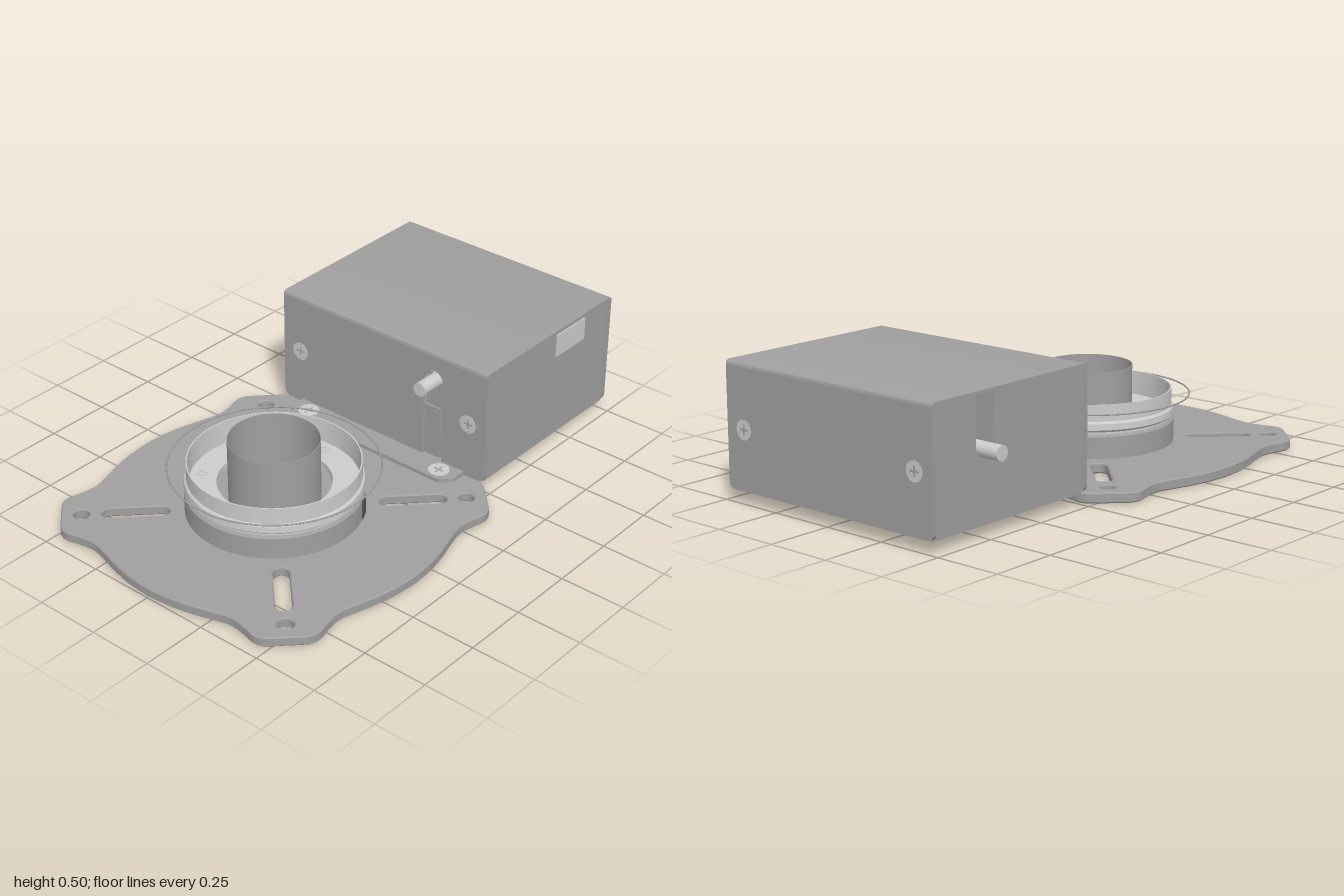
import * as THREE from 'three';
import { toCreasedNormals } from 'three/addons/utils/BufferGeometryUtils.js';

const grey = new THREE.MeshStandardMaterial({ color: 0x9f9f9f, side: THREE.DoubleSide });
const bright = new THREE.MeshStandardMaterial({ color: 0xcccccc, side: THREE.DoubleSide });
const dark = new THREE.MeshStandardMaterial({ color: 0x555555, side: THREE.DoubleSide });
const CZ = 0.355; // centre of the turntable base along z

function add(parent, name, geometry, material = grey, x = 0, y = 0, z = 0) {
  const mesh = new THREE.Mesh(geometry, material);
  mesh.name = name;
  mesh.position.set(x, y, z);
  parent.add(mesh);
  return mesh;
}

function extrude(shape, depth, bevel = 0) {
  const g = new THREE.ExtrudeGeometry(shape, {
    depth: depth - 2 * bevel, curveSegments: 16, bevelEnabled: bevel > 0,
    bevelSize: bevel, bevelThickness: bevel, bevelOffset: -bevel, bevelSegments: 1,
  });
  g.translate(0, 0, bevel);
  return toCreasedNormals(g, 0.5);
}

// Lays an extrusion flat: shape y becomes z, thickness spans y0 upwards
const flat = (shape, y0, depth, bevel) =>
  extrude(shape, depth, bevel).rotateX(Math.PI / 2).translate(0, y0 + depth, 0);

const lathe = (points) => toCreasedNormals(
  new THREE.LatheGeometry(points.map(([r, y]) => new THREE.Vector2(r, y)), 72).toNonIndexed(), 0.5);

function circleHole(x, y, r) {
  return new THREE.Path().absarc(x, y, r, 0, Math.PI * 2, true);
}

// Straight slot with round ends
function slot(ax, ay, bx, by, r) {
  const a = Math.atan2(by - ay, bx - ax), p = new THREE.Path();
  p.absarc(bx, by, r, a - Math.PI / 2, a + Math.PI / 2, false);
  p.absarc(ax, ay, r, a + Math.PI / 2, a + Math.PI * 1.5, false);
  p.closePath();
  return p;
}

// Round screw head with a cross cut, facing +z before rotation
function screw(parent, material, r, x, y, z, rx = 0) {
  const s = new THREE.Shape().absarc(0, 0, r, 0, Math.PI * 2);
  const a = r * 0.12, b = r * 0.55;
  const cross = [[b, a], [a, a], [a, b], [-a, b], [-a, a], [-b, a], [-b, -a], [-a, -a], [-a, -b], [a, -b], [a, -a], [b, -a]];
  s.holes.push(new THREE.Path(cross.map(([u, v]) => new THREE.Vector2(u, v))));
  const head = add(parent, 'screw', extrude(s, 0.008), material, x, y, z);
  head.rotation.x = rx;
}

function buildBase() {
  const base = new THREE.Group();
  base.name = 'base';
  base.position.z = CZ;

  // Lobed outline: half of one quadrant, mirrored about the diagonal, then turned four times
  const half = [[0.643, 0], [0.635, 0.1], [0.615, 0.19], [0.594, 0.26], [0.581, 0.31], [0.58, 0.35],
    [0.589, 0.4], [0.597, 0.43], [0.599, 0.452], [0.593, 0.474], [0.578, 0.495]];
  const quadrant = [...half, ...half.slice(1).reverse().map(([x, y]) => [y, x])];
  const outline = [];
  for (let q = 0; q < 4; q++) {
    const c = Math.round(Math.cos(q * Math.PI / 2)), s = Math.round(Math.sin(q * Math.PI / 2));
    for (const [x, y] of quadrant) outline.push(new THREE.Vector2(x * c - y * s, x * s + y * c));
  }
  const curve = new THREE.SplineCurve([...outline, outline[0]]);
  const plate = new THREE.Shape(curve.getPoints(252).slice(0, -1));
  plate.holes.push(circleHole(0, 0, 0.127));
  for (const sx of [-1, 1]) for (const sy of [-1, 1]) {
    plate.holes.push(circleHole(sx * 0.485, sy * 0.485, 0.029));
    plate.holes.push(slot(sx * 0.285, sy * 0.285, sx * 0.415, sy * 0.415, 0.029));
  }
  add(base, 'basePlate', flat(plate, 0.002, 0.039, 0.005));

  // Lower drum wall and its floor
  add(base, 'lowerDrum', lathe([[0.127, 0.035], [0.127, 0.06], [0.29, 0.06], [0.29, 0.13], [0.315, 0.13],
    [0.322, 0.122], [0.322, 0.04], [0.127, 0.035]]));
  // Upper ring with lip, groove and recessed floor
  add(base, 'upperRing', lathe([[0.206, 0.13], [0.206, 0.15], [0.305, 0.15], [0.307, 0.24], [0.312, 0.24],
    [0.312, 0.178], [0.32, 0.17], [0.322, 0.147], [0.312, 0.138], [0.312, 0.13], [0.206, 0.13]]), bright);
  // Thin-walled centre tube
  add(base, 'centreTube', lathe([[0.163, 0.05], [0.163, 0.325], [0.165, 0.325], [0.165, 0.05]]));
  add(base, 'wireHoop', new THREE.TorusGeometry(0.379, 0.003, 6, 96).rotateX(Math.PI / 2), grey, 0, 0.219, 0);
  // Cable notch in the drum side
  const notch = add(base, 'cableNotch', new THREE.BoxGeometry(0.02, 0.075, 0.045), dark, 0.278, 0.083, -0.15);
  notch.rotation.y = 0.49;

  for (let i = 0; i < 3; i++) {
    const a = -Math.PI / 2 + i * Math.PI * 2 / 3, x = 0.265 * Math.cos(a), z = 0.265 * Math.sin(a);
    screw(base, bright, 0.022, x, 0.145, z, -Math.PI / 2);
    screw(base, grey, 0.028, x, 0.008, z, Math.PI / 2);
  }
  return base;
}

function buildHousing() {
  const box = new THREE.Group();
  box.name = 'housing';
  const W = 0.481, zf = -0.237, zb = -0.999, t = 0.014;

  // Front and back panels, rounded at the lower corners
  const panel = (open) => {
    const s = new THREE.Shape().moveTo(-W, 0.48).lineTo(-W, 0.075).quadraticCurveTo(-W, 0.045, -W + 0.03, 0.045);
    if (open) {
      s.lineTo(0.195, 0.045).lineTo(0.195, 0.38);
      s.absarc(0.24, 0.38, 0.045, Math.PI, 0, true);
      s.lineTo(0.285, 0.045);
    }
    return s.lineTo(W - 0.03, 0.045).quadraticCurveTo(W, 0.045, W, 0.075).lineTo(W, 0.48).closePath();
  };
  add(box, 'frontPanel', extrude(panel(true), t), grey, 0, 0, zf - t);
  add(box, 'backPanel', extrude(panel(false), t), grey, 0, 0, zb);

  // Top cover with rounded front and back edges
  const top = new THREE.Shape().moveTo(zb, 0.48).quadraticCurveTo(zb, 0.498, zb + 0.018, 0.498)
    .lineTo(zf - 0.018, 0.498).quadraticCurveTo(zf, 0.498, zf, 0.48)
    .lineTo(zf - t, 0.48).lineTo(zf - t, 0.486).lineTo(zb + t, 0.486).lineTo(zb + t, 0.48).closePath();
  add(box, 'topCover', extrude(top, 2 * W).rotateY(-Math.PI / 2), grey, W, 0, 0);

  // Side panels; the one at -x has a slot open for the rod
  for (const side of [-1, 1]) {
    const s = new THREE.Shape().moveTo(zb + 0.016, 0.055).lineTo(zf - 0.016, 0.055).lineTo(zf - 0.016, 0.487);
    if (side < 0) {
      s.lineTo(-0.705, 0.487).lineTo(-0.705, 0.315);
      s.absarc(-0.75, 0.315, 0.045, 0, Math.PI, true);
      s.lineTo(-0.795, 0.487);
    }
    s.lineTo(zb + 0.016, 0.487).closePath();
    add(box, 'sidePanel', extrude(s, t).rotateY(-Math.PI / 2), grey, side > 0 ? W - 0.003 : -W + 0.003 + t, 0, 0);
  }

  // Bottom plate continuing forward as a mounting tab
  const floor = new THREE.Shape([[-0.47, -0.99], [0.47, -0.99], [0.47, -0.252], [0.39, -0.237], [0.39, -0.175],
    [0.35, -0.135], [-0.35, -0.135], [-0.39, -0.175], [-0.39, -0.237], [-0.47, -0.252]]
    .map(([x, z]) => new THREE.Vector2(x, z)));
  floor.holes.push(slot(-0.12, -0.87, -0.07, -0.87, 0.006));
  add(box, 'bottomPlate', flat(floor, 0.042, 0.014));
  for (const x of [-0.16, 0.33]) screw(box, grey, 0.028, x, 0.049, -0.41, Math.PI / 2);
  for (const sx of [-1, 1]) {
    screw(box, bright, 0.04, sx * 0.315, 0.052, -0.185, -Math.PI / 2);
    screw(box, grey, 0.018, sx * 0.315, 0.008, -0.185, Math.PI / 2);
    screw(box, bright, 0.036, sx * 0.4, 0.263, zf - 0.006);
    screw(box, bright, 0.036, sx * 0.4, 0.263, zb + 0.007, Math.PI);
  }

  // Rods leaving through the slots
  const rod = (len) => new THREE.CylinderGeometry(0.027, 0.027, len, 28);
  add(box, 'frontRod', rod(0.2).rotateX(Math.PI / 2), bright, 0.24, 0.382, -0.255);
  add(box, 'sideRod', rod(0.2).rotateZ(Math.PI / 2), bright, -0.45, 0.298, -0.75);
  // Filler behind the front slot with a lower step, and the side window
  add(box, 'slotFiller', new THREE.BoxGeometry(0.09, 0.35, 0.01), grey, 0.24, 0.23, -0.262);
  add(box, 'slotStep', new THREE.BoxGeometry(0.07, 0.21, 0.01), grey, 0.23, 0.16, -0.254);
  add(box, 'sideWindow', new THREE.BoxGeometry(0.02, 0.09, 0.175), bright, 0.473, 0.435, -0.74);
  return box;
}

export function createModel() {
  const model = new THREE.Group();
  model.name = 'motorBaseWithHousing';
  model.add(buildBase(), buildHousing());
  return model;
}
